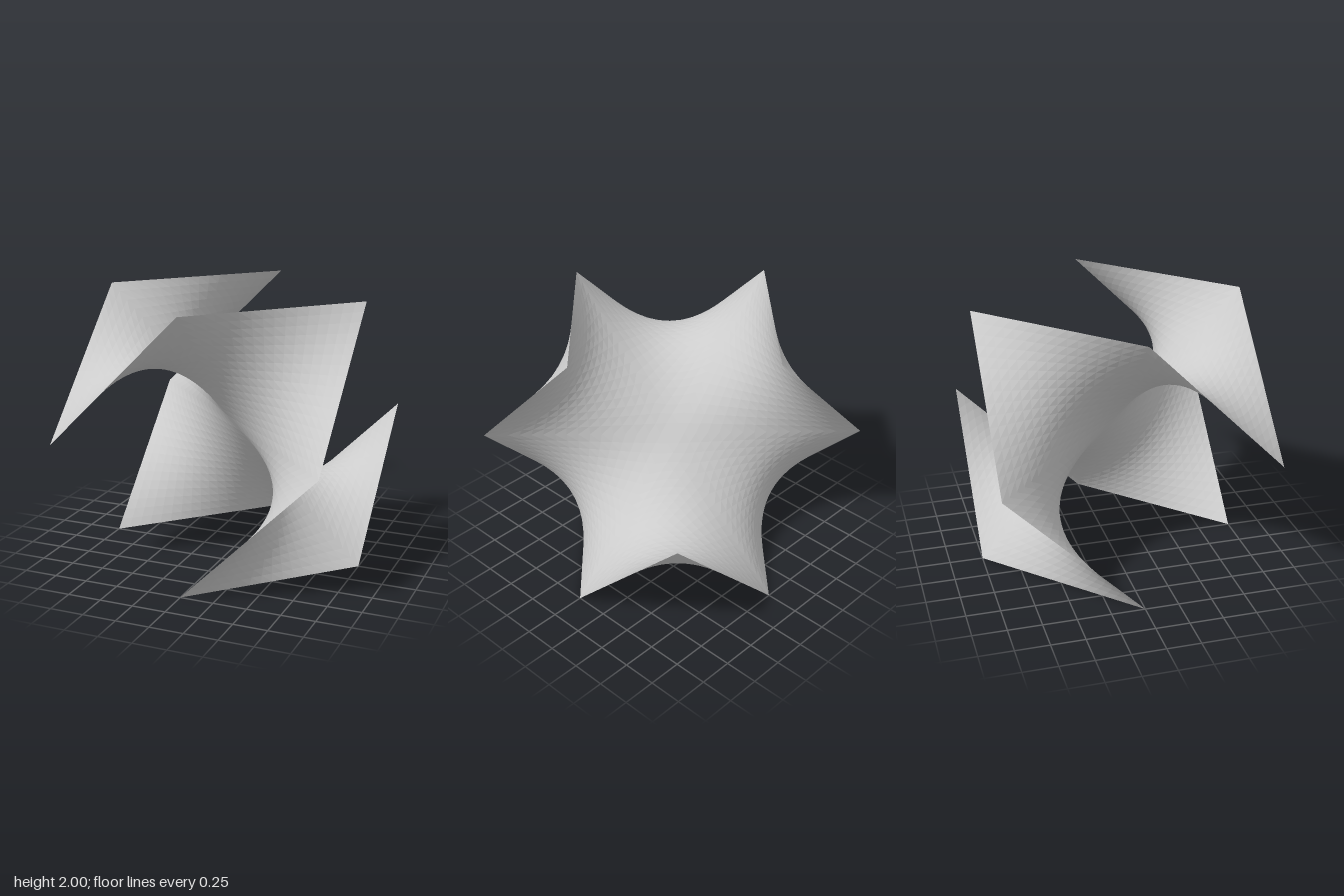
import * as THREE from 'three';
import { ParametricGeometry } from 'three/addons/geometries/ParametricGeometry.js';

const SEGMENTS = 16;

// Straight-edged saddle on a skew quadrilateral: centre, p, q, r
function saddlePatch(p, q, r) {
  return new ParametricGeometry((u, v, target) => {
    target.set(0, 0, 0)
      .addScaledVector(p, u * (1 - v))
      .addScaledVector(q, u * v)
      .addScaledVector(r, (1 - u) * v);
  }, SEGMENTS, SEGMENTS);
}

export function createModel() {
  const group = new THREE.Group();
  group.name = 'saddleSurface';
  const material = new THREE.MeshStandardMaterial({
    color: 0xcccccc, flatShading: true, side: THREE.DoubleSide,
  });

  // Flat hexagon of inner corners around the centre
  const inner = [
    [-1, 1, 0], [-1, 0, -1], [0, -1, -1], [1, -1, 0], [1, 0, 1], [0, 1, 1],
  ].map((c) => new THREE.Vector3(...c));

  // Outer tips, alternately above and below the hexagon's plane
  const axis = new THREE.Vector3(1, 1, -1);

  // Six saddles meet at the centre and join smoothly along straight edges
  inner.forEach((p, i) => {
    const r = inner[(i + 1) % 6];
    const side = i % 2 ? -1 : 1;
    const tip = p.clone().add(r).divideScalar(3).addScaledVector(axis, side * 2 / 3);
    const patch = new THREE.Mesh(saddlePatch(p, tip, r), material);
    patch.name = `saddlePatch${i + 1}`;
    patch.position.y = 1;
    group.add(patch);
  });

  return group;
}
